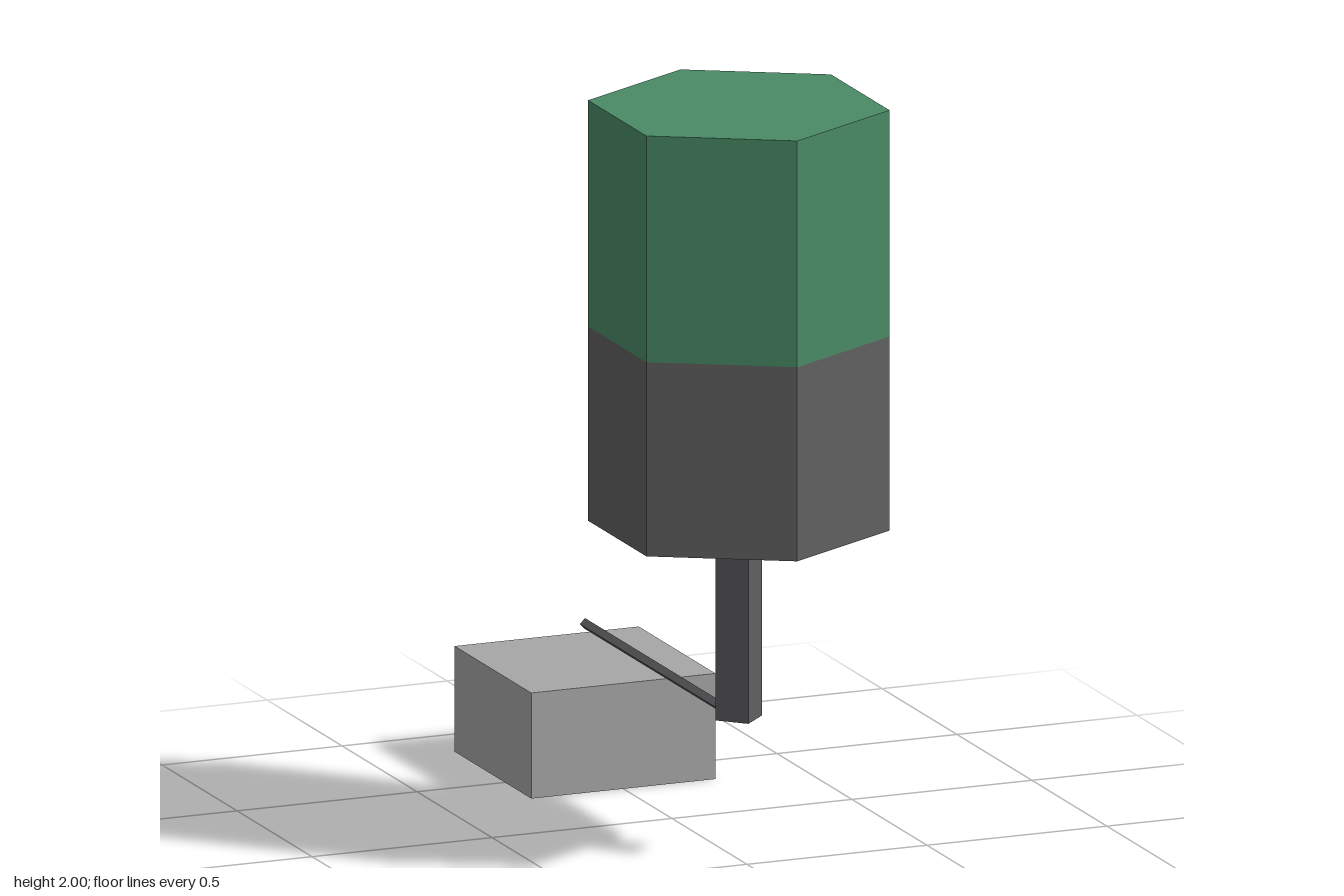
import * as THREE from 'three';

const makeMaterial = (name, color) =>
  new THREE.MeshStandardMaterial({ name, color, flatShading: true, side: THREE.DoubleSide });

export function createModel() {
  const green = makeMaterial('green', 0x4a8a66);
  const darkGrey = makeMaterial('dark grey', 0x606062);
  const lightGrey = makeMaterial('light grey', 0xa6a6a6);

  const model = new THREE.Group();
  const tankZ = 0.445;
  const baseZ = -0.58;

  // Faceted shell from a [radius, height] profile, listed bottom to top
  const addShell = (name, profile, sides, z, material) => {
    const points = profile.map(([r, y]) => new THREE.Vector2(r, y));
    const mesh = new THREE.Mesh(new THREE.LatheGeometry(points, sides), material);
    mesh.name = name;
    mesh.position.z = z;
    model.add(mesh);
    return mesh;
  };

  // Hexagonal tank: closed green top, dark lower half with an opening beneath
  addShell('tankTop', [[0.39, 1.4], [0.39, 2], [0, 2]], 6, tankZ, green);
  addShell('tankBottom', [[0.09, 0.87], [0.39, 0.885], [0.39, 1.4]], 6, tankZ, darkGrey);

  // Four-sided stem hanging below the opening
  addShell('stem', [[0, 0.375], [0.065, 0.375], [0.065, 0.872], [0, 0.872]], 4, tankZ, darkGrey);

  // Thin rod running back from the foot of the stem
  const rodGeometry = new THREE.CylinderGeometry(0.0145, 0.0145, tankZ - baseZ, 4);
  rodGeometry.rotateX(Math.PI / 2);
  const rod = new THREE.Mesh(rodGeometry, darkGrey);
  rod.name = 'rod';
  rod.position.set(0, 0.376, (tankZ + baseZ) / 2);
  model.add(rod);

  // Square base box, open underneath
  const radius = 0.256 * Math.SQRT2;
  const base = addShell('baseBox', [[radius, 0], [radius, 0.28], [0, 0.28]], 4, baseZ, lightGrey);
  base.rotation.y = Math.PI / 4;

  return model;
}
